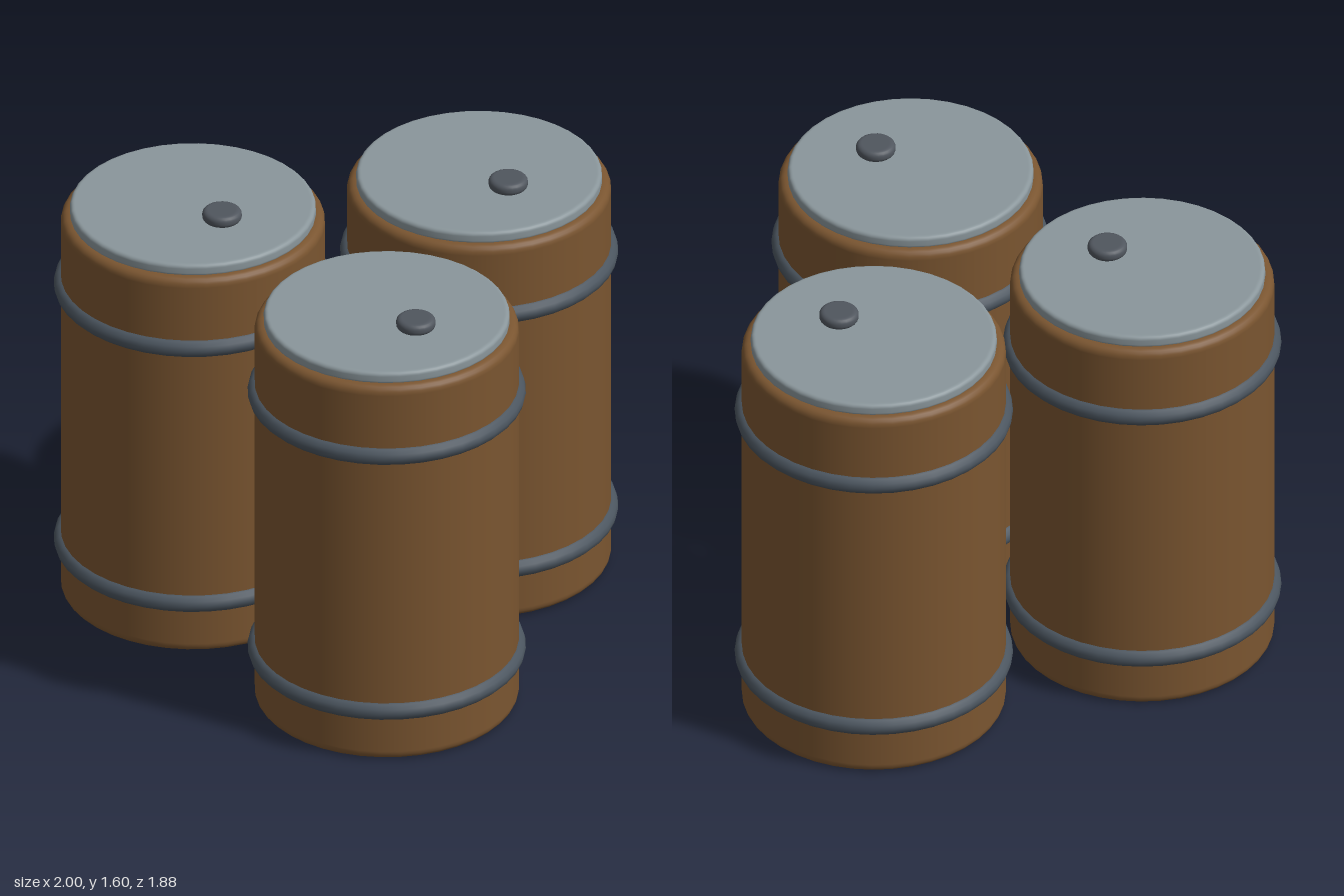
import * as THREE from 'three';

const material = (name, color) => {
  const m = new THREE.MeshStandardMaterial({ color });
  m.name = name;
  return m;
};

// Solid disc or drum with rounded rims, turned about the y axis
function roundedDrum(radius, bottom, top, bevel, sides) {
  const points = [new THREE.Vector2(0, bottom), new THREE.Vector2(radius - bevel - 0.004, bottom)];
  const steps = 5;
  for (const [y, start] of [[bottom + bevel, -Math.PI / 2], [top - bevel, 0]]) {
    // extra points beside the arcs keep the flat walls evenly shaded
    if (start === 0 && top - bottom > 0.2) {
      points.push(new THREE.Vector2(radius, bottom + bevel + 0.005), new THREE.Vector2(radius, y - 0.005));
    }
    for (let i = 0; i <= steps; i++) {
      const a = start + (i / steps) * Math.PI / 2;
      points.push(new THREE.Vector2(radius - bevel + Math.cos(a) * bevel, y + Math.sin(a) * bevel));
    }
  }
  points.push(new THREE.Vector2(radius - bevel - 0.004, top), new THREE.Vector2(0, top));
  return new THREE.LatheGeometry(points, sides);
}

export function createModel() {
  const model = new THREE.Group();
  model.name = 'barrelCluster';

  const wood = material('brown', 0x7a5530);
  const iron = material('dark steel', 0x4b555f);
  const lidGrey = material('lid grey', 0x8a969b);
  const plugGrey = material('plug grey', 0x50565e);

  const bodyGeo = roundedDrum(0.466, 0, 1.52, 0.03, 40);
  const lidGeo = roundedDrum(0.434, 1.512, 1.56, 0.015, 40);
  const plugGeo = roundedDrum(0.07, 1.56, 1.603, 0.018, 24);
  const hoopGeo = new THREE.TorusGeometry(0.456, 0.035, 12, 40).rotateX(Math.PI / 2);

  const add = (parent, name, geometry, mat, x = 0, y = 0) => {
    const mesh = new THREE.Mesh(geometry, mat);
    mesh.name = name;
    mesh.position.set(x, y, 0);
    parent.add(mesh);
  };

  // Three identical barrels in a triangle
  const places = { leftBarrel: [0.509, 0.45], rightBarrel: [-0.509, 0.45], backBarrel: [0, -0.45] };
  for (const [name, [x, z]] of Object.entries(places)) {
    const barrel = new THREE.Group();
    barrel.name = name;
    barrel.position.set(x, 0, z);
    add(barrel, 'body', bodyGeo, wood);
    add(barrel, 'lid', lidGeo, lidGrey);
    add(barrel, 'plug', plugGeo, plugGrey, 0.153);
    add(barrel, 'lowerHoop', hoopGeo, iron, 0, 0.2);
    add(barrel, 'upperHoop', hoopGeo, iron, 0, 1.24);
    model.add(barrel);
  }
  return model;
}
